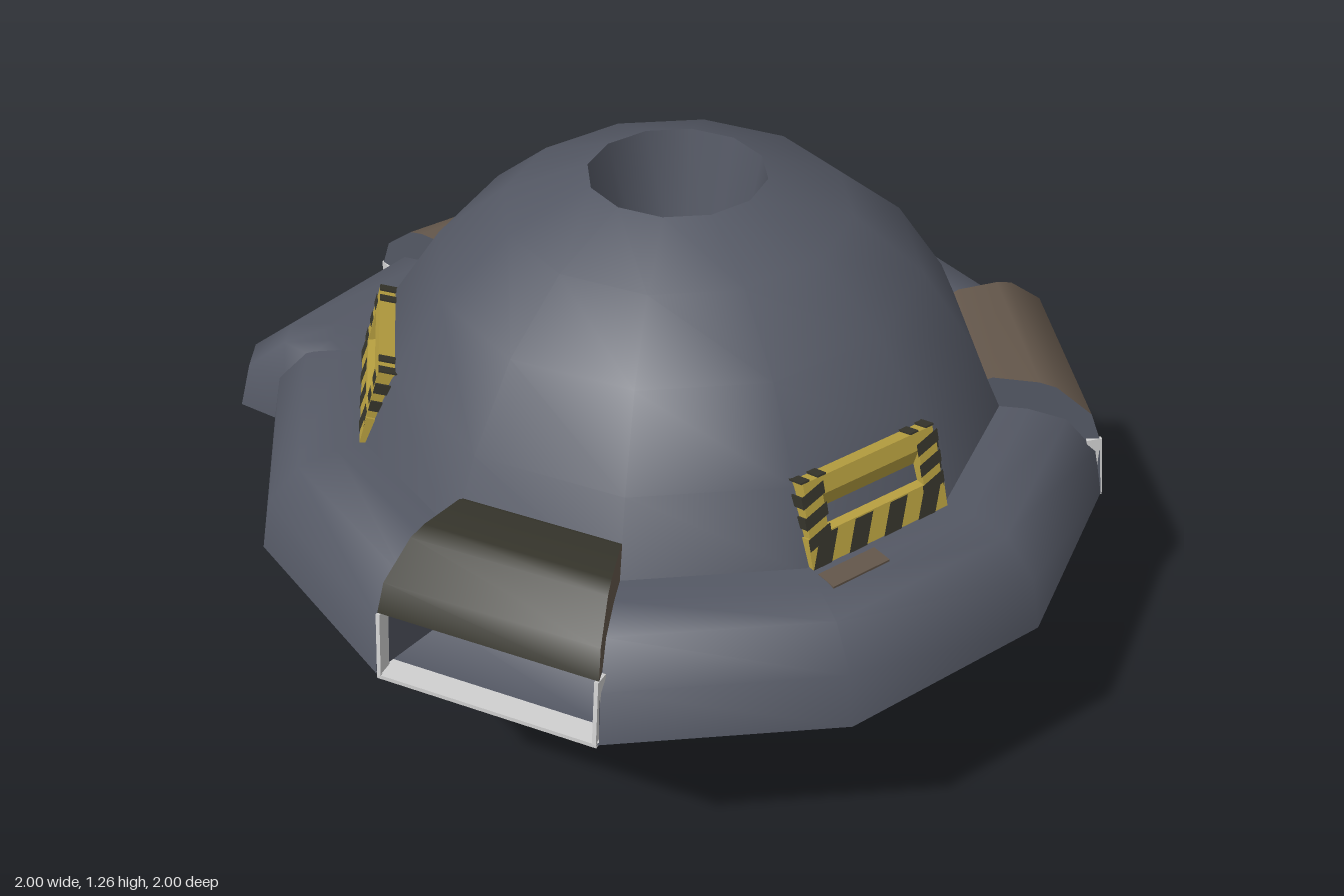
import * as THREE from 'three';

const mat = (name, color, extra = {}) => Object.assign(new THREE.MeshStandardMaterial({ color, ...extra }), { name });
const rad = THREE.MathUtils.degToRad;
const V2 = (list) => list.map(([x, y]) => new THREE.Vector2(x, y));
const flat = (list) => new THREE.ShapeGeometry(new THREE.Shape(V2(list)));

export function createModel() {
  const slate = mat('slate hull', 0x545864, { side: THREE.DoubleSide });
  const yellow = mat('hazard yellow', 0xb8a040, { side: THREE.DoubleSide });
  const dark = mat('hazard dark', 0x35342b, { side: THREE.DoubleSide });
  const brown = mat('brown hood', 0x64574b, { side: THREE.DoubleSide });
  const pale = mat('pale frame', 0xd0d0d0);

  const model = new THREE.Group();
  const add = (parent, name, geo, material, x = 0, y = 0, z = 0) => {
    const m = new THREE.Mesh(geo, material);
    m.name = name;
    m.position.set(x, y, z);
    parent.add(m);
    return m;
  };
  const box = (parent, name, material, w, h, d, x, y, z) =>
    add(parent, name, new THREE.BoxGeometry(w, h, d), material, x, y, z);
  // A turned surface between two headings, measured in degrees from +z towards +x
  const turned = (name, profile, material, from = 0, segs = 12) =>
    add(model, name, new THREE.LatheGeometry(V2(profile), segs, rad(from), rad(30 * segs)), material);
  const turnedGroup = (name, heading) => {
    const g = new THREE.Group();
    g.name = name;
    g.rotation.y = rad(heading);
    model.add(g);
    return g;
  };

  // Upper dome with its tapering shaft and striped floor
  turned('upperDome', [[0.75, 0.71], [0.673, 0.88], [0.55, 1.06], [0.39, 1.19], [0.2, 1.265]], slate);
  turned('topShaft', [[0.2, 1.265], [0.115, 0.8]], slate);
  const R = 0.116;
  add(model, 'shaftFloor', new THREE.CircleGeometry(R, 24).rotateX(-Math.PI / 2), yellow, 0, 0.8, 0);
  for (const start of [-0.085, -0.018, 0.049]) {
    const edge = [0, 1, 2, 3, 4].map((s) => start + s * 0.009).map((x) => [x, Math.sqrt(R * R - x * x)]);
    const geo = flat([...edge, ...edge.map(([x, y]) => [x, -y]).reverse()]);
    add(model, 'shaftStripe', geo.rotateZ(Math.PI / 4).rotateX(-Math.PI / 2), dark, 0, 0.804, 0);
  }

  // Rim, left open where the three bays sit
  const rimProfile = [[1.0, 0.5], [0.975, 0.62], [0.9, 0.7], [0.81, 0.72], [0.72, 0.72]];
  for (const [from, segs] of [[330, 3], [90, 3], [240, 2]]) turned('rim', rimProfile, slate, from, segs);
  add(model, 'underside', new THREE.RingGeometry(0.45, 1.0, 12).rotateX(Math.PI / 2), slate, 0, 0.5, 0);
  box(turnedGroup('rimScuff', 15), 'scuffPatch', brown, 0.15, 0.008, 0.05, -0.11, 0.717, 0.775);

  // Bent rim section: rim cross-sections pushed outward, [heading, outer stretch]
  const sections = [[210, 1.0], [233.8, 1.116], [238.6, 1.095], [241.3, 0.98]];
  const pos = [], idx = [], n = rimProfile.length;
  for (const [heading, k] of sections) {
    for (const [r, y] of rimProfile) {
      const rr = 0.72 + (r - 0.72) * (k - 0.72) / 0.28;
      pos.push(rr * Math.sin(rad(heading)), y, rr * Math.cos(rad(heading)));
    }
  }
  for (let i = 0; i < sections.length - 1; i++) {
    for (let j = 0; j < n - 1; j++) {
      const a = i * n + j;
      idx.push(a, a + n, a + 1, a + n, a + n + 1, a + 1);
    }
  }
  const bend = new THREE.BufferGeometry();
  bend.setAttribute('position', new THREE.Float32BufferAttribute(pos, 3));
  bend.setIndex(idx);
  bend.computeVertexNormals();
  add(model, 'bentRim', bend, slate);
  const foot = [[210, 0.72], ...sections, [241.3, 0.72]].map(([h, r]) => [r * Math.sin(rad(h)), r * Math.cos(rad(h))]);
  add(model, 'bentRimUnderside', flat(foot).rotateX(Math.PI / 2), slate, 0, 0.5, 0);

  // Hooded bays, each filling one side of the rim; the pale floor reaches in to paleR
  const hood = [[0.98, 0.655], [0.955, 0.72], [0.87, 0.785], [0.83, 0.795], [0.725, 0.797], [0.7, 0.785]];
  const hoodEnd = [[0.7, 0.655], ...hood];
  const bayWall = [[0.69, 0.5], [1.0, 0.5], [0.98, 0.655], [0.69, 0.655]];
  for (const [from, cover, endCover, paleR] of [[60, brown, slate, 0.9], [300, dark, brown, 0.95], [180, brown, slate, 0.82]]) {
    turned('bayHood', hood, cover, from, 1);
    turned('bayFloor', [[1.0, 0.506], [paleR, 0.506]], pale, from, 1);
    turned('bayBack', [[paleR, 0.506], [0.8, 0.506], [0.84, 0.655], [0.98, 0.655]], slate, from, 1);
    for (const h of [from, from + 30]) {
      add(model, 'hoodEnd', flat(hoodEnd).rotateY(rad(h - 90)), endCover);
      add(model, 'bayWall', flat(bayWall).rotateY(rad(h - 90)), slate);
    }
    const frame = turnedGroup('bayFrame', from + 15);
    box(frame, 'frameSill', pale, 0.51, 0.01, 0.03, 0, 0.498, 0.955);
    for (const s of [-1, 1]) {
      box(frame, 'framePost', pale, 0.009, 0.155, 0.035, s * 0.25, 0.576, 0.944).rotation.x = -0.12;
    }
    for (let i = 0; i < 4; i++) box(frame, 'underSlat', pale, 0.4 + i * 0.025, 0.006, 0.022, 0, 0.498, 0.77 + i * 0.048);
  }

  // Hazard-striped windows leaning back against the dome
  for (const heading of [15, 135, 255]) {
    const win = new THREE.Group();
    win.name = 'windowFrame';
    win.position.set(0, 0.715, 0.735);
    win.rotation.x = -0.3;
    turnedGroup('domeWindow', heading).add(win);
    box(win, 'windowSill', yellow, 0.37, 0.075, 0.1, 0, 0.0375, -0.05);
    box(win, 'windowHead', yellow, 0.35, 0.04, 0.08, 0, 0.177, -0.04);
    // Recess: a short rising floor and a long sloping ceiling, drawn as (depth, height)
    const recess = new THREE.ExtrudeGeometry(
      new THREE.Shape(V2([[0, 0.075], [0.045, 0.09], [0, 0.157], [0.08, 0.157], [0.08, 0.075]])),
      { depth: 0.27, bevelEnabled: false });
    add(win, 'windowRecess', recess.rotateY(Math.PI / 2), yellow, -0.135, 0, 0);
    for (const s of [-1, 1]) {
      box(win, 'windowPost', yellow, 0.05, 0.1, 0.1, s * 0.155, 0.11, -0.05);
      for (const x of [0.125, 0.168]) box(win, 'topMark', dark, 0.022, 0.004, 0.08, s * x, 0.199, -0.04);
      for (let i = 0; i < 3; i++) {
        const y = 0.06 + i * 0.048;
        add(win, 'postStripe', flat([[-0.03, 0], [0.03, 0.018], [0.03, 0.046], [-0.03, 0.028]]), dark, s * 0.155, y - 0.014, 0.002);
        box(win, 'postSideStripe', dark, 0.004, 0.026, 0.08, s * 0.182, y, -0.04);
      }
    }
    for (let i = 0; i < 4; i++) {
      add(win, 'sillStripe', flat([[0, 0], [0.048, 0], [0.078, 0.07], [0.03, 0.07]]), dark, -0.185 + i * 0.095, 0.003, 0.002);
    }
  }

  // Collar wrapped in uneven slanted stripes: headings where each yellow one starts and ends
  const collarPoint = (deg, y) => {
    const r = 0.565 * Math.cos(rad(15)) / Math.cos(rad((((deg % 30) + 30) % 30) - 15));
    return [r * Math.sin(rad(deg)), y, r * Math.cos(rad(deg))];
  };
  const collarStripe = (name, material, from, to) => {
    const p = [], steps = Math.ceil((to - from) / 3), w = (to - from) / steps;
    for (let s = 0; s < steps; s++) {
      for (let t = 0; t < 4; t++) {
        const a = from + s * w - 4 + t * 2, y0 = 0.33 + t * 0.0425, y1 = y0 + 0.0425;
        const A = collarPoint(a, y0), B = collarPoint(a + w, y0);
        const C = collarPoint(a + w + 2, y1), D = collarPoint(a + 2, y1);
        p.push(...A, ...B, ...D, ...B, ...C, ...D);
      }
    }
    const g = new THREE.BufferGeometry();
    g.setAttribute('position', new THREE.Float32BufferAttribute(p, 3));
    g.computeVertexNormals();
    add(model, name, g, material);
  };
  const yellows = [[8, 29], [44, 60], [90, 109], [132, 151], [171, 200], [221, 241], [270, 287], [312, 326], [343, 355]];
  yellows.forEach(([from, to], i) => {
    const next = i + 1 < yellows.length ? yellows[i + 1][0] : yellows[0][0] + 360;
    collarStripe('collarYellow', yellow, from, to);
    collarStripe('collarDark', dark, to, next);
  });
  add(model, 'collarBase', new THREE.RingGeometry(0.45, 0.565, 12).rotateX(Math.PI / 2), dark, 0, 0.33, 0);

  // Lower bowl with a recessed port
  turned('lowerBowl', [[0.13, 0], [0.27, 0.07], [0.4, 0.19], [0.465, 0.29], [0.5, 0.4]], slate);
  turned('bottomPort', [[0, 0.16], [0.12, 0.16], [0.13, 0]], slate);

  // Short struts in three pairs below the collar
  for (const heading of [15, 135, 255]) {
    for (const s of [-17, 17]) {
      box(turnedGroup('strut', heading + s), 'strutBlock', slate, 0.065, 0.135, 0.14, 0, 0.264, 0.47);
    }
  }
  return model;
}
